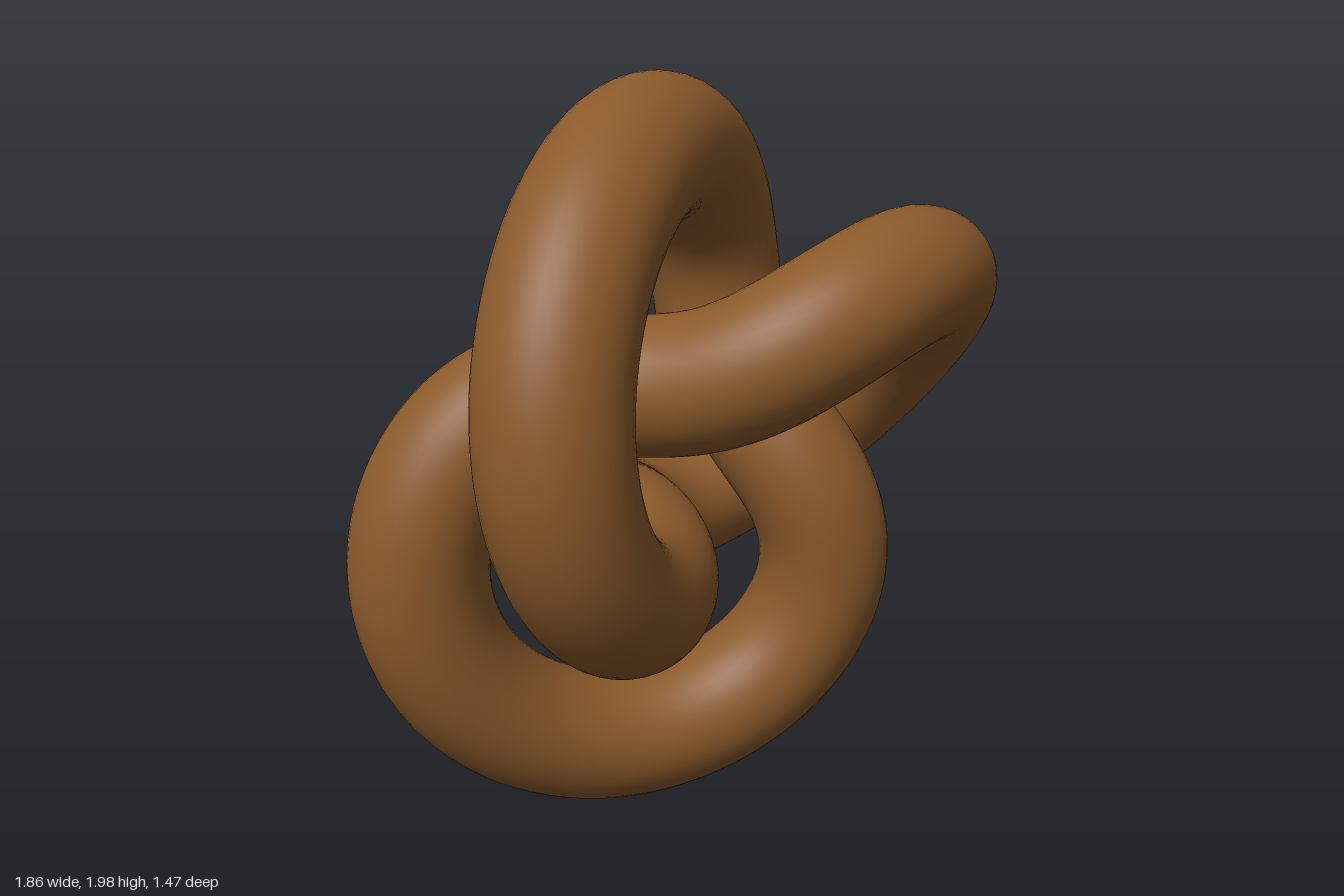
import * as THREE from 'three';

export function createModel() {
  const group = new THREE.Group();

  // Closed trefoil tube: winds twice round its axis with three lobes
  const knot = new THREE.Mesh(
    new THREE.TorusKnotGeometry(0.572, 0.178, 300, 40, 2, 3),
    new THREE.MeshStandardMaterial({ color: 0x8b5a2b })
  );
  knot.name = 'trefoilKnot';

  // Tilt: axis of the knot, and the direction of its right-hand lobe
  const axis = new THREE.Vector3(0.407, -0.267, 0.875).normalize();
  const lobe = new THREE.Vector3(0.916, 0.121, -0.388);
  const side = new THREE.Vector3().crossVectors(axis, lobe).normalize();
  lobe.crossVectors(side, axis);
  knot.quaternion.setFromRotationMatrix(new THREE.Matrix4().makeBasis(lobe, side, axis));

  // Stand it on the ground, centred
  knot.position.set(-0.04, 1.015, 0.005);
  group.add(knot);
  return group;
}
